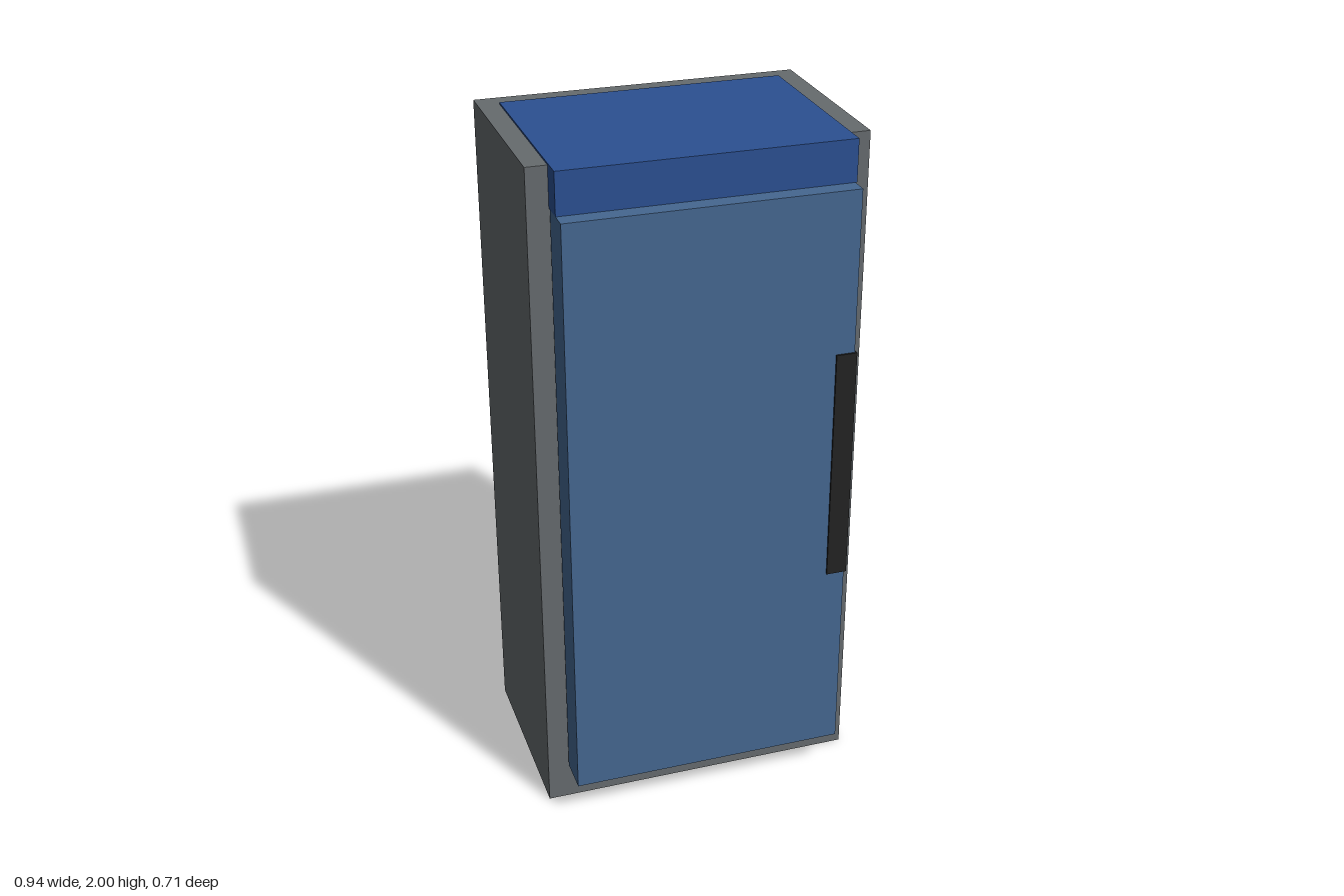
import * as THREE from 'three';

const paint = (name, color, side = THREE.FrontSide) => {
  const m = new THREE.MeshStandardMaterial({ color, side });
  m.name = name;
  return m;
};

// Box given by its minimum and maximum corners
function block(name, material, min, max) {
  const size = max.map((v, i) => v - min[i]);
  const mesh = new THREE.Mesh(new THREE.BoxGeometry(...size), material);
  mesh.position.set(...max.map((v, i) => (v + min[i]) / 2));
  mesh.name = name;
  return mesh;
}

export function createModel() {
  const group = new THREE.Group();
  group.name = 'cabinet';

  const grey = paint('cabinet grey', 0x666b6e, THREE.DoubleSide);
  const blue = paint('panel blue', 0x2b5091);
  const doorBlue = paint('door blue', 0x456790);
  const black = paint('handle black', 0x222222);
  const pale = paint('pale trim', 0xd8dcde);

  // Hollow cabinet shell, open underneath: drop the bottom face (fourth box side)
  const body = block('body', grey, [-0.47, 0, -0.354], [0.47, 1.995, 0.23]);
  const faces = Array.from(body.geometry.index.array);
  faces.splice(18, 6);
  body.geometry.setIndex(faces);
  body.geometry.clearGroups();
  group.add(body);

  // Header panel set into the top and projecting at the front
  group.add(block('topPanel', blue, [-0.41, 1.88, -0.295], [0.41, 2, 0.295]));

  // Door standing just clear of the body, with its handle
  group.add(block('door', doorBlue, [-0.41, 0.12, 0.24], [0.405, 1.88, 0.346]));
  group.add(block('handle', black, [0.35, 0.71, 0.294], [0.41, 1.41, 0.352]));

  // Thin trim strips in the gap behind the door edge
  for (const [low, high] of [[0.47, 0.65], [1.0, 1.12], [1.47, 1.65]]) {
    group.add(block('gapTrim', pale, [0.385, low, 0.231], [0.409, high, 0.239]));
  }

  return group;
}
